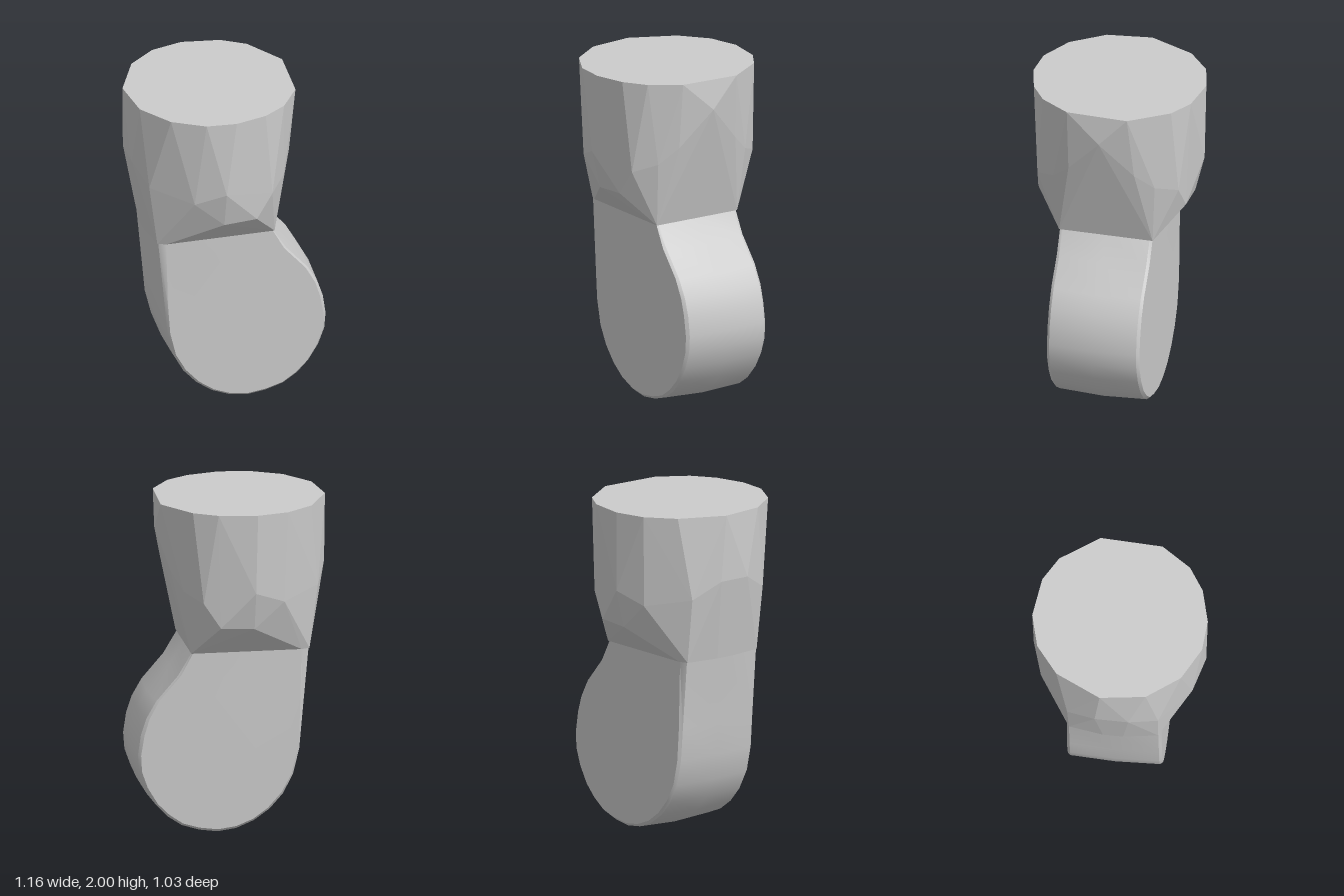
import * as THREE from 'three';
import { toCreasedNormals } from 'three/addons/utils/BufferGeometryUtils.js';
import { ConvexGeometry } from 'three/addons/geometries/ConvexGeometry.js';

// Wide faceted socket: round at the top, narrowing to the neck
function makeSocket() {
  const rim = [
    [-0.11, -0.52], [0.12, -0.485], [0.26, -0.4], [0.415, -0.17], [0.4, 0.2],
    [0.285, 0.375], [0.15, 0.465], [-0.04, 0.515], [-0.22, 0.5], [-0.41, 0.395],
    [-0.55, 0.2], [-0.585, -0.07], [-0.46, -0.34], [-0.3, -0.47],
  ];
  const points = rim.map(([x, z]) => new THREE.Vector3(x, 2, z));
  points.push(new THREE.Vector3(0.425, 1.82, 0));
  // body and neck points, mirrored front to back
  const half = [
    [-0.575, 1.6, 0.1], [-0.51, 1.5, 0.27], [-0.1, 1.52, 0.512], [0.3, 1.5, 0.31], [0.36, 1.6, 0.2],
    [-0.28, 1.45, 0.45], [0.2, 1.45, 0.43], [-0.1, 1.29, 0.455], [0.1, 1.3, 0.45],
    [0.25, 1.11, 0.285], [-0.41, 1.11, 0.285], [-0.46, 1.11, 0.265], [-0.49, 1.11, 0.06],
  ];
  for (const [x, y, z] of half) {
    points.push(new THREE.Vector3(x, y, z), new THREE.Vector3(x, y, -z));
  }
  return new ConvexGeometry(points);
}

// Flat-sided rounded lobe with a slightly crowned rim
function makeLobe() {
  const outer = [
    [0.25, 1.11], [0.34, 0.97], [0.47, 0.82], [0.53, 0.72], [0.565, 0.62], [0.58, 0.5], [0.57, 0.4],
    [0.53, 0.29], [0.47, 0.19], [0.4, 0.11], [0.31, 0.05], [0.2, 0.015], [0.09, 0], [-0.02, 0.015],
    [-0.13, 0.06], [-0.23, 0.13], [-0.31, 0.22], [-0.37, 0.34], [-0.41, 0.5], [-0.43, 0.7], [-0.49, 1.11],
  ].reverse();
  const inner = [
    [0.24, 1.11], [0.31, 0.98], [0.44, 0.83], [0.5, 0.72], [0.53, 0.62], [0.55, 0.5], [0.545, 0.4],
    [0.51, 0.3], [0.45, 0.2], [0.38, 0.13], [0.3, 0.075], [0.2, 0.045], [0.09, 0.03], [-0.02, 0.045],
    [-0.12, 0.085], [-0.21, 0.15], [-0.29, 0.24], [-0.35, 0.35], [-0.385, 0.5], [-0.4, 0.7], [-0.41, 1.11],
  ].reverse();
  const n = outer.length;
  // [z, blend from face outline to rim outline]
  const rings = [[-0.282, 0], [-0.265, 0.55], [0, 1], [0.265, 0.55], [0.282, 0]];
  const position = [];
  const index = [];
  for (const [z, t] of rings) {
    for (let i = 0; i < n; i++) {
      position.push(
        THREE.MathUtils.lerp(inner[i][0], outer[i][0], t),
        THREE.MathUtils.lerp(inner[i][1], outer[i][1], t),
        z,
      );
    }
  }
  for (let k = 0; k < rings.length - 1; k++) {
    for (let i = 0; i < n; i++) {
      const j = (i + 1) % n;
      const a = k * n + i, b = k * n + j, c = b + n, d = a + n;
      index.push(a, b, c, a, c, d);
    }
  }
  // flat front and back faces
  const contour = inner.map(([x, y]) => new THREE.Vector2(x, y));
  const last = (rings.length - 1) * n;
  for (const [a, b, c] of THREE.ShapeUtils.triangulateShape(contour, [])) {
    index.push(a + last, b + last, c + last, c, b, a);
  }
  const geometry = new THREE.BufferGeometry();
  geometry.setAttribute('position', new THREE.Float32BufferAttribute(position, 3));
  geometry.setIndex(index);
  return toCreasedNormals(geometry, 0.45);
}

export function createModel() {
  const group = new THREE.Group();
  group.name = 'limbJoint';

  const socket = new THREE.Mesh(
    makeSocket(),
    new THREE.MeshStandardMaterial({ color: 0xcccccc, flatShading: true }),
  );
  socket.name = 'upperSocket';

  const lobe = new THREE.Mesh(makeLobe(), new THREE.MeshStandardMaterial({ color: 0xcccccc }));
  lobe.name = 'lowerLobe';

  group.add(socket, lobe);
  return group;
}
